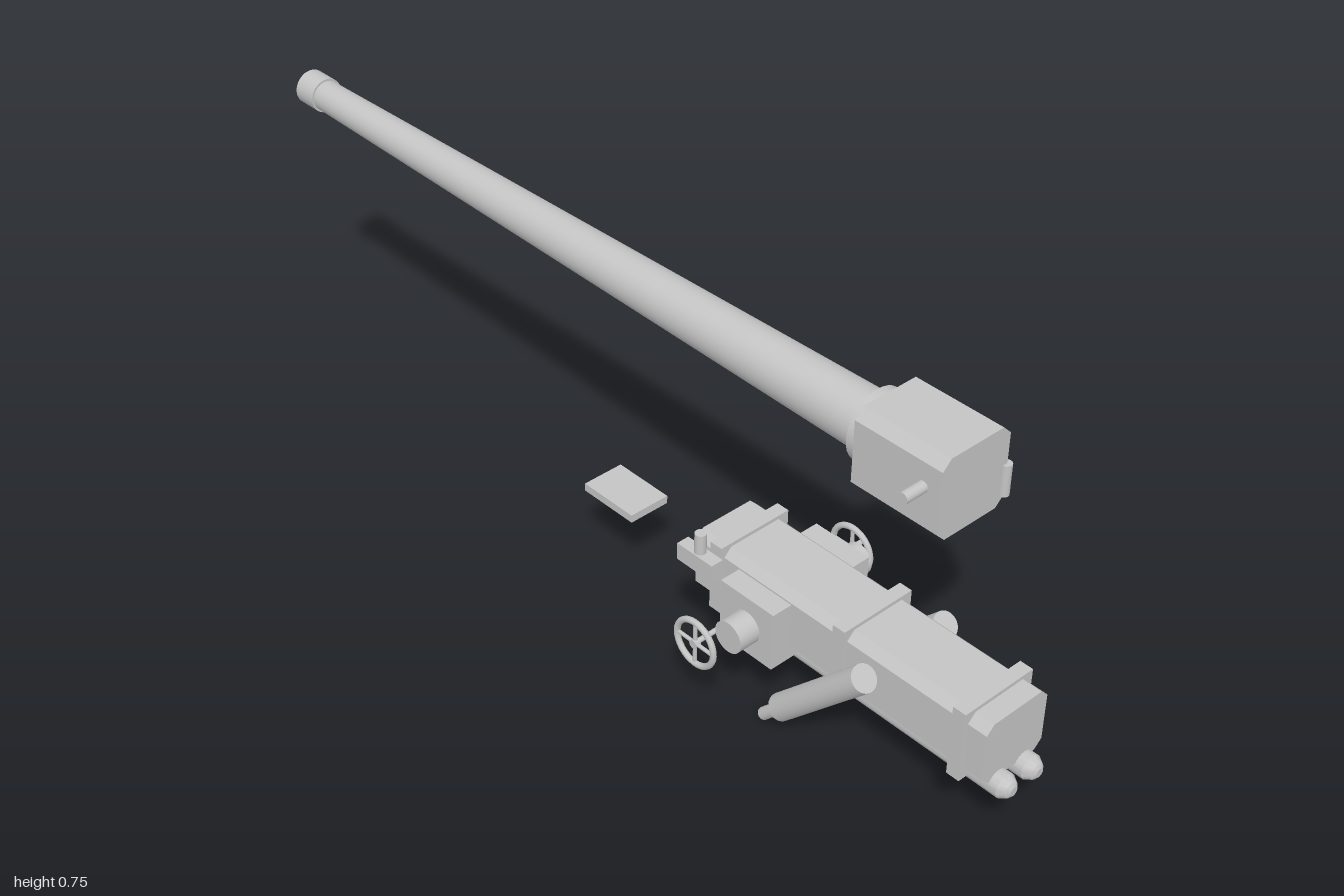
import * as THREE from 'three';
import { toCreasedNormals } from 'three/addons/utils/BufferGeometryUtils.js';

const steel = new THREE.MeshStandardMaterial({ color: 0xc4c4c4 });
steel.name = 'light grey steel';

const CX = -0.012; // centre line of the cradle

function add(parent, name, geometry, x = 0, y = 0, z = 0) {
  const mesh = new THREE.Mesh(geometry, steel);
  mesh.name = name;
  mesh.position.set(x, y, z);
  parent.add(mesh);
  return mesh;
}

// box given by its limits on each axis
function block(parent, name, x0, x1, y0, y1, z0, z1) {
  return add(parent, name, new THREE.BoxGeometry(x1 - x0, y1 - y0, z1 - z0),
    (x0 + x1) / 2, (y0 + y1) / 2, (z0 + z1) / 2);
}

// cylinder between two points
function rod(parent, name, a, b, r, segments = 24) {
  const p = new THREE.Vector3(...a), q = new THREE.Vector3(...b);
  const dir = q.clone().sub(p);
  const mesh = add(parent, name, new THREE.CylinderGeometry(r, r, dir.length(), segments));
  mesh.position.copy(p).add(q).multiplyScalar(0.5);
  mesh.quaternion.setFromUnitVectors(new THREE.Vector3(0, 1, 0), dir.normalize());
  return mesh;
}

// prism along z with cut corners, starting at z = 0
function chamferedPrism(w, h, depth, cut) {
  const a = w / 2, b = h / 2;
  const shape = new THREE.Shape([
    [-a + cut, -b], [a - cut, -b], [a, -b + cut], [a, b - cut],
    [a - cut, b], [-a + cut, b], [-a, b - cut], [-a, -b + cut],
  ].map(([x, y]) => new THREE.Vector2(x, y)));
  return new THREE.ExtrudeGeometry(shape, { depth, bevelEnabled: false });
}

// handwheel lying in the yz plane
function handwheel(parent, name, x, y, z) {
  const wheel = new THREE.Group();
  wheel.name = name;
  wheel.position.set(x, y, z);
  add(wheel, 'rim', new THREE.TorusGeometry(0.047, 0.0062, 10, 32)).rotation.y = Math.PI / 2;
  rod(wheel, 'verticalSpokes', [0, -0.045, 0], [0, 0.045, 0], 0.004, 10);
  rod(wheel, 'crossSpokes', [0, 0, -0.045], [0, 0, 0.045], 0.004, 10);
  rod(wheel, 'hub', [-0.006, 0, 0], [0.006, 0, 0], 0.009, 16);
  parent.add(wheel);
}

function createModel() {
  const model = new THREE.Group();
  model.name = 'artilleryPieceParts';

  // gun tube and breech
  const gun = new THREE.Group();
  gun.name = 'gunTube';
  model.add(gun);
  add(gun, 'breechBlock', chamferedPrism(0.162, 0.163, 0.19, 0.019), 0.0005, 0.665, 0.623);
  rod(gun, 'breechCollar', [0, 0.668, 0.63], [0, 0.668, 0.597], 0.07, 36);
  const barrel = add(gun, 'barrel', new THREE.CylinderGeometry(0.056, 0.032, 1.565, 36), 0, 0.667, -0.1775);
  barrel.rotation.x = Math.PI / 2;
  rod(gun, 'muzzleRing', [0, 0.667, -0.945], [0, 0.667, -1], 0.0365, 36);
  rod(gun, 'breechLever', [-0.128, 0.68, 0.775], [-0.075, 0.68, 0.775], 0.011);
  rod(gun, 'breechHinge', [0.081, 0.603, 0.812], [0.081, 0.666, 0.812], 0.0105);

  // cradle with its bands
  const cradle = new THREE.Group();
  cradle.name = 'cradle';
  model.add(cradle);
  add(cradle, 'cradleBody', chamferedPrism(0.153, 0.133, 0.695, 0.017), CX, 0.225, 0.268);
  for (const z of [0.908, 0.633, 0.328]) {
    block(cradle, 'cradleBand', CX - 0.0845, CX + 0.0845, 0.149, 0.299, z - 0.014, z + 0.014);
  }

  // recoil cylinders with conical, capped ends
  const profile = [[0, 0], [0.0245, 0], [0.0245, 0.668], [0.016, 0.682], [0.009, 0.687], [0, 0.688]];
  for (const side of [-1, 1]) {
    const lathe = new THREE.LatheGeometry(profile.map(([r, y]) => new THREE.Vector2(r, y)), 28);
    const tube = add(cradle, 'recoilCylinder', toCreasedNormals(lathe, 0.4), CX + side * 0.033, 0.147, 0.312);
    tube.rotation.x = Math.PI / 2;
  }

  // trunnions and balancing cylinders
  block(cradle, 'trunnionBlock', CX - 0.121, CX + 0.121, 0.146, 0.271, 0.38, 0.512);
  for (const side of [-1, 1]) {
    const x = CX + side * 0.103;
    rod(cradle, 'trunnion', [CX + side * 0.11, 0.207, 0.448], [CX + side * 0.167, 0.207, 0.448], 0.0325, 32);
    rod(cradle, 'balancerCylinder', [x, 0.251, 0.714], [x, 0.054, 0.524], 0.0265, 28);
    rod(cradle, 'balancerRod', [x, 0.06, 0.53], [x, 0.009, 0.482], 0.0125, 20);
  }

  // handwheels on a cross shaft
  rod(model, 'handwheelShaft', [-0.212, 0.183, 0.4], [0.219, 0.183, 0.4], 0.0052, 16);
  handwheel(model, 'rightHandwheel', -0.213, 0.183, 0.4);
  handwheel(model, 'leftHandwheel', 0.188, 0.183, 0.4);

  // sight
  const sight = new THREE.Group();
  sight.name = 'sight';
  model.add(sight);
  block(sight, 'sightBase', -0.163, -0.136, 0.286, 0.322, 0.297, 0.386);
  rod(sight, 'sightPost', [-0.149, 0.32, 0.342], [-0.149, 0.364, 0.342], 0.0112);

  // loose plate
  block(model, 'plate', CX - 0.046, CX + 0.046, 0.171, 0.188, -0.077, 0.058);

  return model;
}

export { createModel };
